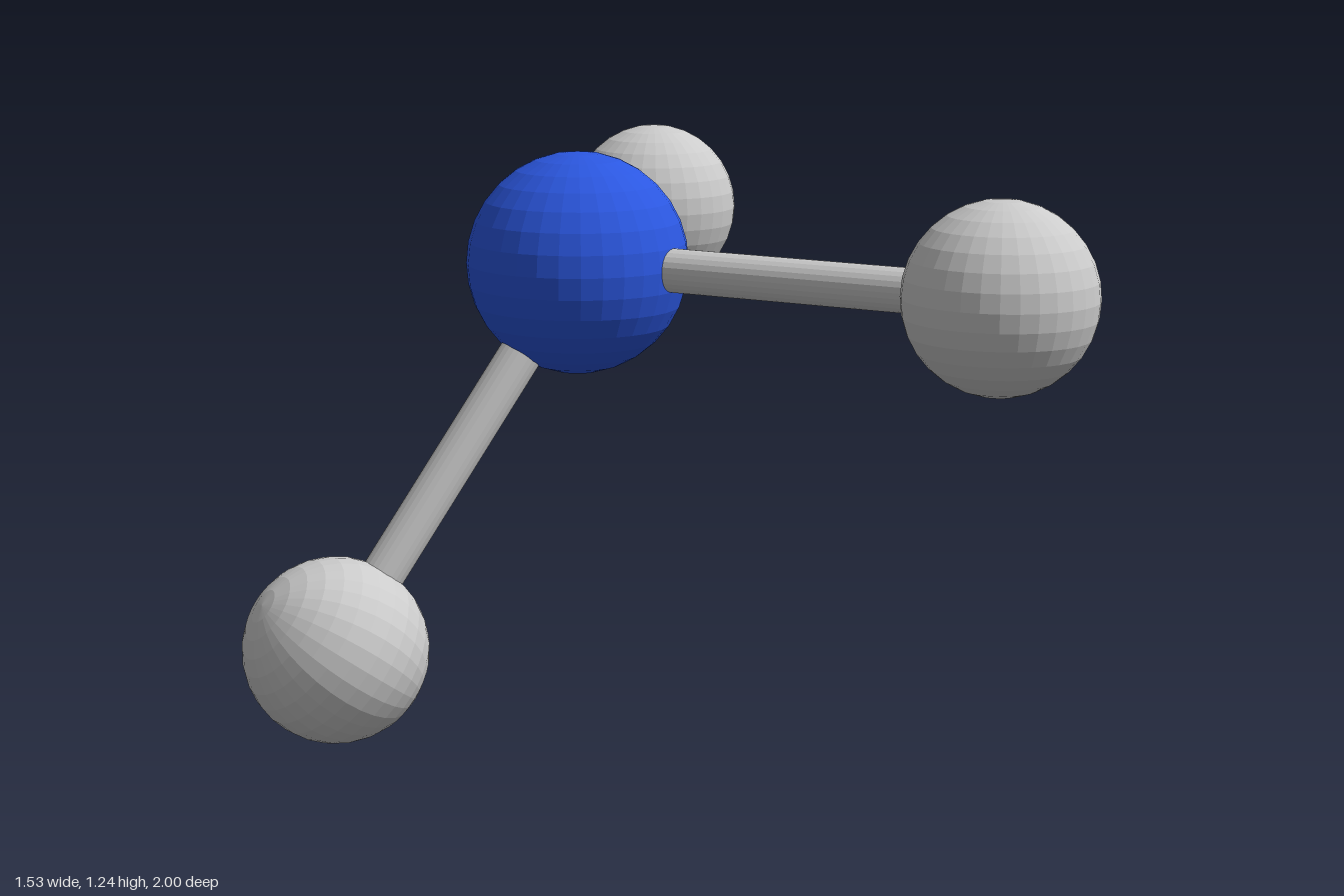
import * as THREE from 'three';

const BOND_LENGTH = 0.98;
const BOND_ANGLE = Math.atan2(0.8, 0.565);

export function createModel() {
  const model = new THREE.Group();
  model.name = 'molecule';
  const grey = new THREE.MeshStandardMaterial({ color: 0xcccccc, flatShading: true });
  const blue = new THREE.MeshStandardMaterial({ color: 0x2b57e0, flatShading: true });

  // Central atom; everything else hangs from its centre
  const center = new THREE.Mesh(new THREE.SphereGeometry(0.24, 32, 16), blue);
  center.name = 'centralAtom';
  center.position.y = 1;
  model.add(center);

  // One arm lies along +x: a rod ending in a small atom
  const rodGeometry = new THREE.CylinderGeometry(0.047, 0.047, BOND_LENGTH, 24);
  rodGeometry.rotateZ(-Math.PI / 2);
  rodGeometry.translate(BOND_LENGTH / 2, 0, 0);
  const atomGeometry = new THREE.SphereGeometry(0.2, 32, 16);

  function addArm(name, ry, rz) {
    const arm = new THREE.Group();
    arm.name = name;
    const rod = new THREE.Mesh(rodGeometry, grey);
    rod.name = 'bondRod';
    const atom = new THREE.Mesh(atomGeometry, grey);
    atom.name = 'outerAtom';
    atom.position.x = BOND_LENGTH;
    arm.add(rod, atom);
    arm.position.y = 1;
    arm.rotation.set(0, ry, rz);
    model.add(arm);
  }

  // Two level arms mirrored front and back, one slanting down to the right
  addArm('frontArm', -BOND_ANGLE, 0);
  addArm('backArm', BOND_ANGLE, 0);
  addArm('lowerArm', 0, Math.PI + BOND_ANGLE);

  return model;
}
